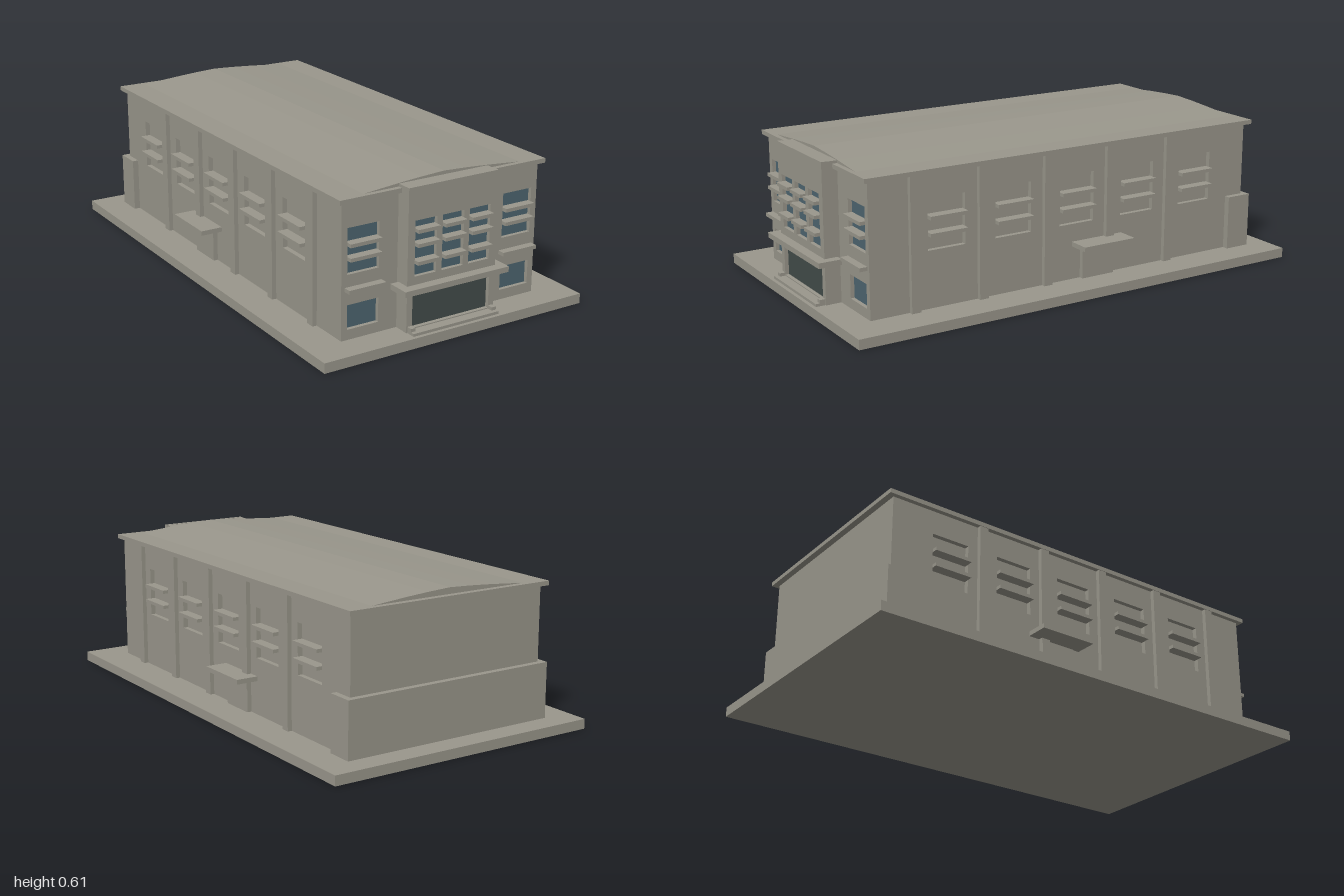
import * as THREE from 'three';

const mat = (name, color) => {
  const m = new THREE.MeshStandardMaterial({ color });
  m.name = name;
  return m;
};

export function createModel() {
  const model = new THREE.Group();
  model.name = 'hallBuilding';
  const concrete = mat('concrete', 0x9a978c);
  const glass = mat('blueGlass', 0x4e6670);
  const dark = mat('darkEntrance', 0x434c4a);

  // Box given by its limits on each axis
  const box = (name, [x0, x1], [y0, y1], [z0, z1], material = concrete, parent = model) => {
    const mesh = new THREE.Mesh(new THREE.BoxGeometry(x1 - x0, y1 - y0, z1 - z0), material);
    mesh.position.set((x0 + x1) / 2, (y0 + y1) / 2, (z0 + z1) / 2);
    mesh.name = name;
    parent.add(mesh);
    return mesh;
  };

  // Wall panel with rectangular openings, its outer face at local z = 0
  const T = 0.02;
  const wall = (name, [x0, x1], [y0, y1], holes, parent) => {
    const rect = (C, a, b, c, d) => {
      const p = new C();
      p.moveTo(a, c); p.lineTo(b, c); p.lineTo(b, d); p.lineTo(a, d); p.closePath();
      return p;
    };
    const shape = rect(THREE.Shape, x0, x1, y0, y1);
    holes.forEach(([a, b, c, d]) => shape.holes.push(rect(THREE.Path, a, b, c, d)));
    const geo = new THREE.ExtrudeGeometry(shape, { depth: T, bevelEnabled: false });
    geo.translate(0, 0, -T);
    const mesh = new THREE.Mesh(geo, concrete);
    mesh.name = name;
    parent.add(mesh);
  };

  // Thin coloured plate at the back of an opening
  const pane = (name, [a, b, c, d], material, parent) =>
    box(name, [a, b], [c, d], [-T - 0.002, -T + 0.004], material, parent);

  // Horizontal sun shades across an opening
  const shades = (a, b, heights, out, parent) => heights.forEach(y =>
    box('sunShade', [a, b], [y - 0.007, y + 0.007], [-T, out], concrete, parent));

  // Ground slab and solid core
  box('groundSlab', [-0.585, 0.585], [0, 0.04], [-1, 1]);
  box('mainCore', [-0.42, 0.42], [0.04, 0.57], [-0.88, 0.86]);
  box('frontBayCore', [-0.199, 0.199], [0.04, 0.596], [0.8, 0.925]);
  box('rearAnnex', [-0.465, 0.465], [0.04, 0.265], [-0.905, -0.795]);

  // Eaves slab and shallow curved roof
  box('eavesSlab', [-0.46, 0.46], [0.567, 0.585], [-0.905, 0.9]);
  const arc = new THREE.Shape();
  arc.moveTo(-0.4, 0.575);
  arc.lineTo(0.4, 0.575);
  [[0.35, 0.585], [0.2, 0.598], [0.1, 0.605], [0, 0.61], [-0.1, 0.605], [-0.2, 0.598], [-0.35, 0.585]]
    .forEach(([x, y]) => arc.lineTo(x, y));
  const roof = new THREE.Mesh(
    new THREE.ExtrudeGeometry(arc, { depth: 1.76, bevelEnabled: false }), concrete);
  roof.position.z = -0.88;
  roof.name = 'curvedRoof';
  model.add(roof);

  // Front centre bay: three tall windows over the entrance
  const bay = new THREE.Group();
  bay.name = 'frontBay';
  bay.position.z = 0.945;
  model.add(bay);
  const door = [-0.175, 0.175, 0.055, 0.19];
  const tall = [-0.121, 0, 0.121].map(x => [x - 0.048, x + 0.048, 0.255, 0.47]);
  wall('frontBayWall', [-0.2, 0.2], [0.04, 0.597], [door, ...tall], bay);
  pane('entrance', door, dark, bay);
  tall.forEach(w => {
    pane('tallWindow', w, glass, bay);
    shades(w[0], w[1], [0.434, 0.38, 0.312], 0.022, bay);
  });
  box('frontCanopy', [-0.235, 0.235], [0.201, 0.223], [0.89, 0.985]);
  box('entranceStep', [-0.195, 0.195], [0.04, 0.051], [0.94, 0.985]);
  for (const s of [-1, 1])
    box('stepCheek', [s * 0.185 - 0.01, s * 0.185 + 0.01], [0.04, 0.064], [0.94, 0.968]);

  for (const s of [-1, 1]) {
    // Front wing
    const wing = new THREE.Group();
    wing.name = s > 0 ? 'leftFrontWing' : 'rightFrontWing';
    wing.position.z = 0.88;
    model.add(wing);
    const span = (a, b) => (s > 0 ? [a, b] : [-b, -a]);
    const upper = [...span(0.28, 0.415), 0.293, 0.47];
    const lower = [...span(0.28, 0.415), 0.08, 0.176];
    wall('wingWall', span(0.19, 0.44), [0.04, 0.57], [upper, lower], wing);
    pane('upperWindow', upper, glass, wing);
    pane('lowerWindow', lower, glass, wing);
    shades(upper[0], upper[1], [0.408, 0.354], 0.022, wing);
    box('windowLedge', span(0.268, 0.426), [0.23, 0.245], [-0.01, 0.032], concrete, wing);

    // Long side wall, local x running along the building
    const side = new THREE.Group();
    side.name = s > 0 ? 'leftSide' : 'rightSide';
    side.position.x = s * 0.44;
    side.rotation.y = s * Math.PI / 2;
    model.add(side);
    const along = (z, w) => [-s * z - w / 2, -s * z + w / 2];
    const openings = [];
    for (let i = 0; i < 5; i++) {
      const o = [...along(0.555 - i * 0.294, 0.16), 0.268, 0.47];
      openings.push(o);
      shades(o[0], o[1], [0.398, 0.332], 0.024, side);
      box('pilaster', along(0.697 - i * 0.294, 0.038), [0.04, 0.568], [-0.01, 0.018], concrete, side);
    }
    wall('sideWall', [-0.88, 0.88], [0.04, 0.57], openings, side);
    box('sideDoor', along(-0.127, 0.15), [0.04, 0.167], [-0.01, 0.019], concrete, side);
    box('sideCanopy', along(-0.132, 0.24), [0.176, 0.195], [-0.01, 0.092], concrete, side);
  }
  return model;
}
